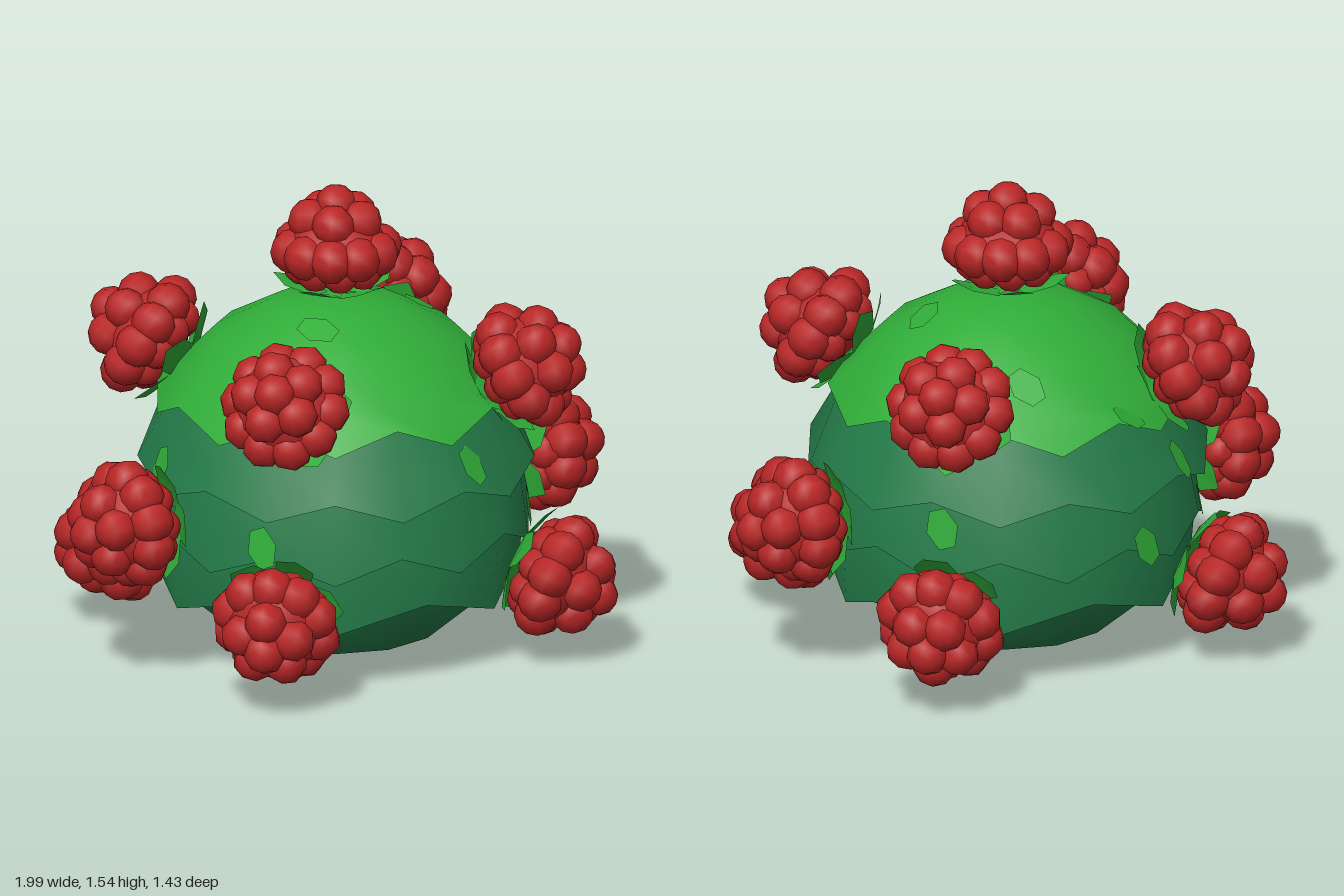
import * as THREE from 'three';
import { mergeVertices } from 'three/addons/utils/BufferGeometryUtils.js';

const rad = THREE.MathUtils.degToRad;
const CENTRE = new THREE.Vector3(0, 0.58, 0);

export function createModel() {
  const model = new THREE.Group();
  model.name = 'berryBush';

  const mat = (name, color, side = THREE.FrontSide) => {
    const m = new THREE.MeshStandardMaterial({ color, side });
    m.name = name;
    return m;
  };
  const darkGreen = mat('darkFoliage', 0x237a48, THREE.DoubleSide);
  const leafGreen = mat('brightLeaf', 0x30ac38, THREE.DoubleSide);
  const red = mat('berryRed', 0xb92626);

  const add = (parent, name, geometry, material) => {
    const mesh = new THREE.Mesh(geometry, material);
    mesh.name = name;
    parent.add(mesh);
    return mesh;
  };

  // Foliage layer: turned profile (bottom to top) whose lowest ring is a zigzag hem
  function layer(name, profile, lobes, startDeg, zigzag, material) {
    const points = profile.map(([x, y]) => new THREE.Vector2(x, y));
    const g = new THREE.LatheGeometry(points, lobes * 2, rad(startDeg));
    const pos = g.attributes.position;
    for (let i = 1; i < lobes * 2; i += 2) {
      const k = i * points.length;
      pos.setY(k, pos.getY(k) + zigzag);
    }
    g.deleteAttribute('uv');
    g.deleteAttribute('normal');
    const welded = mergeVertices(g, 1e-4);
    welded.computeVertexNormals();
    return add(model, name, welded, material);
  }

  const layers = [
    layer('foliageCap', [[0.585, 0.8], [0.52, 0.92], [0.39, 1.05], [0.21, 1.145], [0, 1.18]], 9, 10, 0.08, leafGreen),
    layer('upperFoliage', [[0.65, 0.59], [0.57, 0.8], [0.49, 0.93]], 9, 30, 0.07, darkGreen),
    layer('middleFoliage', [[0.63, 0.38], [0.605, 0.58], [0.55, 0.75]], 9, 10, 0.08, darkGreen),
    layer('lowerFoliage', [[0.59, 0.2], [0.6, 0.4], [0.57, 0.55]], 6, 30, 0.08, darkGreen),
    layer('foliageBase', [[0, 0], [0.34, 0.06], [0.53, 0.22], [0.57, 0.4]], 6, 0, 0, darkGreen),
  ];

  // One berry, base on y = 0 and tip up: core, rings of drupelets, ring of sepals
  const drupelet = new THREE.SphereGeometry(1, 8, 6);
  const core = new THREE.SphereGeometry(0.17, 10, 6);
  core.scale(1, 0.75, 1);
  core.translate(0, 0.13, 0);
  const rings = [ // count, ring radius, height, drupelet radius
    [1, 0, 0.27, 0.07],
    [5, 0.088, 0.225, 0.071],
    [10, 0.144, 0.125, 0.073],
    [8, 0.11, 0.07, 0.062],
  ];

  // Sepal: pointed leaf curling up towards its tip
  const sepal = new THREE.CircleGeometry(0.085, 6);
  sepal.scale(1.05, 0.85, 1);
  sepal.rotateX(-Math.PI / 2);
  sepal.translate(0.115, 0, 0);
  const sp = sepal.attributes.position;
  for (let i = 0; i < sp.count; i++) sp.setY(i, 1.5 * sp.getX(i) ** 2 - 0.025);
  sepal.computeVertexNormals();

  function berry(name, dir, dist, turn) {
    const group = new THREE.Group();
    group.name = name;
    const axis = new THREE.Vector3(...dir).normalize();
    group.position.copy(CENTRE).addScaledVector(axis, dist);
    group.quaternion.setFromUnitVectors(new THREE.Vector3(0, 1, 0), axis);
    add(group, 'berryCore', core, red);
    rings.forEach(([count, r, y, size], ring) => {
      for (let i = 0; i < count; i++) {
        const a = turn + ((i + ring * 0.5) / count) * Math.PI * 2;
        const ball = add(group, 'drupelet', drupelet, red);
        ball.position.set(r * Math.sin(a), y, r * Math.cos(a));
        ball.rotation.y = a;
        ball.scale.setScalar(size);
      }
    });
    for (let i = 0; i < 5; i++) {
      add(group, 'sepal', sepal, leafGreen).rotation.y = turn + (i / 5) * Math.PI * 2;
    }
    model.add(group);
  }

  // Berries on the top, the two sides and the eight corners
  berry('topBerry', [0, 1, 0], 0.62, 0);
  for (const sx of [1, -1]) {
    berry('sideBerry', [sx, -0.07, -0.035 * sx], 0.66, 0.3 * sx);
    for (const sz of [1, -1]) {
      berry('upperBerry', [0.44 * sx, 0.4, 0.44 * sz], 0.62, 0.5 * sx * sz);
      berry('lowerBerry', [0.52 * sx, -0.3, 0.52 * sz], 0.67, 0.8 * sx * sz);
    }
  }

  // Loose leaves lying flat on the foliage: azimuth from the front, elevation, roll
  const leaf = new THREE.CircleGeometry(0.075, 6);
  leaf.scale(0.72, 1, 1);
  const spots = [
    [17, 13, 0.3], [55, -10, 0.2], [132, -2, 0.3], [160, 43, 0.6],
    [197, 28, 1], [80, 62, 0.8], [-43, 65, 1.2], [265, 8, 0.4],
    [215, 10, 0.2], [234, -9, 0.9], [198, -12, 0.5], [-52, -8, 0.4],
  ];
  const ray = new THREE.Raycaster();
  for (const [az, el, roll] of spots) {
    const out = new THREE.Vector3().setFromSphericalCoords(1, rad(90 - el), rad(az));
    ray.set(CENTRE.clone().addScaledVector(out, 2), out.clone().negate());
    const hit = ray.intersectObjects(layers)[0];
    if (!hit) continue;
    const mesh = add(model, 'looseLeaf', leaf, leafGreen);
    mesh.position.copy(hit.point).addScaledVector(hit.face.normal, 0.009);
    mesh.lookAt(mesh.position.clone().add(hit.face.normal));
    mesh.rotateZ(roll);
  }

  return model;
}
